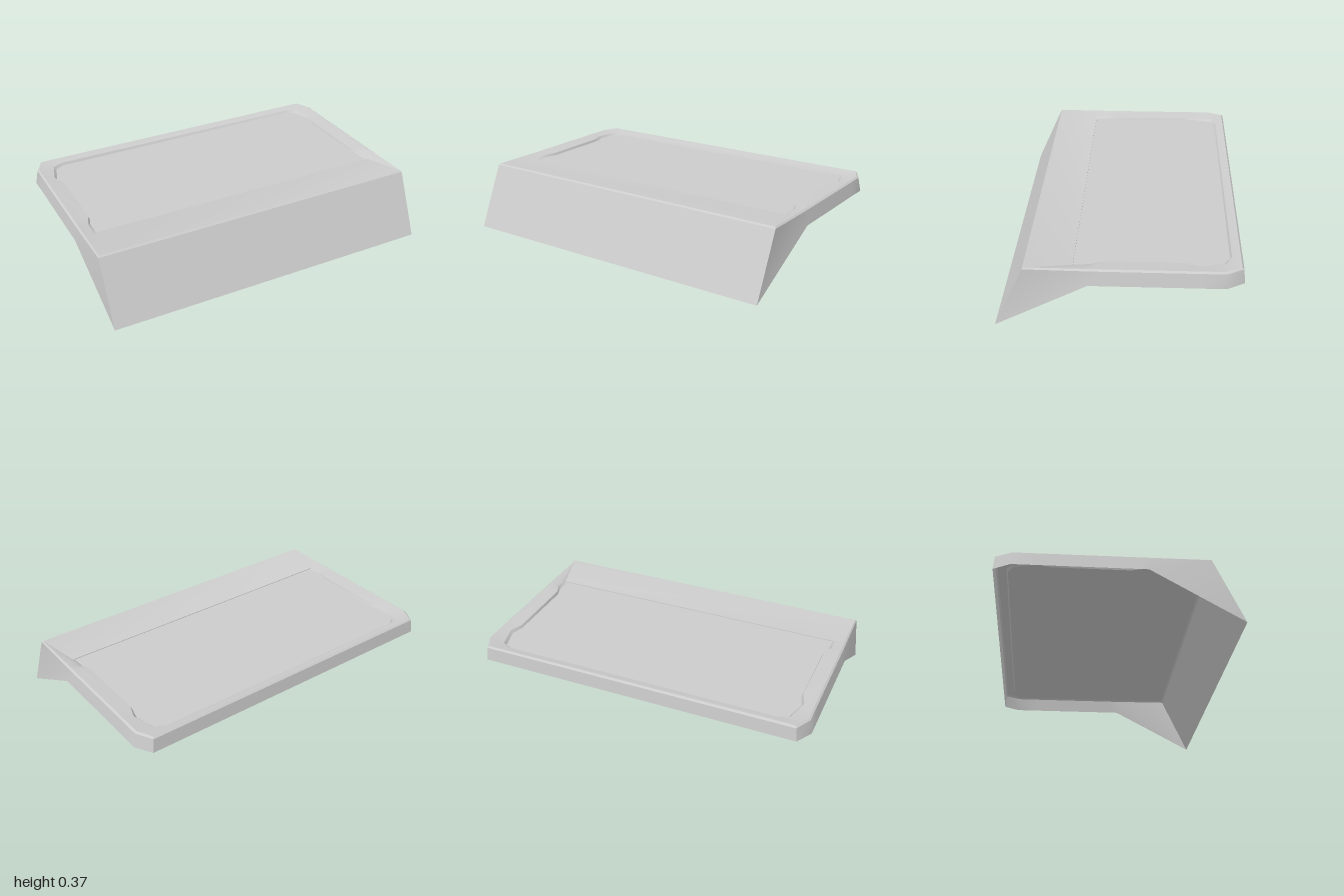
import * as THREE from 'three';
import { toCreasedNormals } from 'three/addons/utils/BufferGeometryUtils.js';

const material = new THREE.MeshStandardMaterial({ color: 0xcccccc, side: THREE.DoubleSide });

// Mirror a +x half outline (front to back) into a closed loop
const mirror = (half) => [...half, ...half.map(([x, y, z]) => [-x, y, z]).reverse()];

// Skin a stack of equal-length closed loops
function skin(loops) {
  const n = loops[0].length;
  const index = [];
  for (let k = 0; k < loops.length - 1; k++) {
    for (let i = 0; i < n; i++) {
      const j = (i + 1) % n;
      const a = k * n + i, b = k * n + j, c = b + n, d = a + n;
      index.push(a, b, c, a, c, d);
    }
  }
  const geometry = new THREE.BufferGeometry();
  geometry.setAttribute('position', new THREE.Float32BufferAttribute(loops.flat(2), 3));
  geometry.setIndex(index);
  return toCreasedNormals(geometry, 0.6);
}

export function createModel() {
  const group = new THREE.Group();
  group.name = 'coverPanel';
  const add = (name, geometry) => {
    const mesh = new THREE.Mesh(geometry, material);
    mesh.name = name;
    group.add(mesh);
    return mesh;
  };

  // z stations shared by the straight sides
  const stations = [0.155, 0.08, -0.35, -0.43];
  const side = (x, y) => stations.map((z) => [x, y, z]);

  // Outer skirt: lower edge, then upper edge under the rounded rim
  const hem = mirror([[0.98, 0, 0.655], ...side(1, 0.28), [1, 0.28, -0.56], [0.945, 0.28, -0.655]]);
  const shoulder = mirror([[0.982, 0.362, 0.49], ...side(0.985, 0.36), [0.985, 0.36, -0.555], [0.936, 0.36, -0.648]]);
  const rim = mirror([[0.975, 0.37, 0.48], ...side(0.974, 0.368), [0.974, 0.368, -0.55], [0.93, 0.37, -0.638]]);

  // Notched recess outline, with the step down to the panel
  const recess = [[0.915, 0.235], [0.915, 0.145], [0.887, 0.08], [0.887, -0.35],
    [0.916, -0.43], [0.88, -0.562], [0.82, -0.592]];
  const panel = [[0.9, 0.235], [0.9, 0.142], [0.88, 0.075], [0.88, -0.355],
    [0.901, -0.435], [0.867, -0.553], [0.813, -0.584]];
  const lip = mirror(recess.map(([x, z], i) => [x, i === 0 ? 0.347 : 0.358, z]));
  const floor = mirror(panel.map(([x, z]) => [x, 0.343, z]));

  add('skirt', skin([hem, shoulder]));
  add('rim', skin([shoulder, rim, lip]));
  add('recessStep', skin([lip, floor]));

  // Flat panel filling the recess
  const shape = new THREE.Shape(floor.map(([x, , z]) => new THREE.Vector2(x, -z)));
  const flat = new THREE.ShapeGeometry(shape).rotateX(-Math.PI / 2);
  add('topPanel', flat).position.y = 0.343;

  return group;
}
